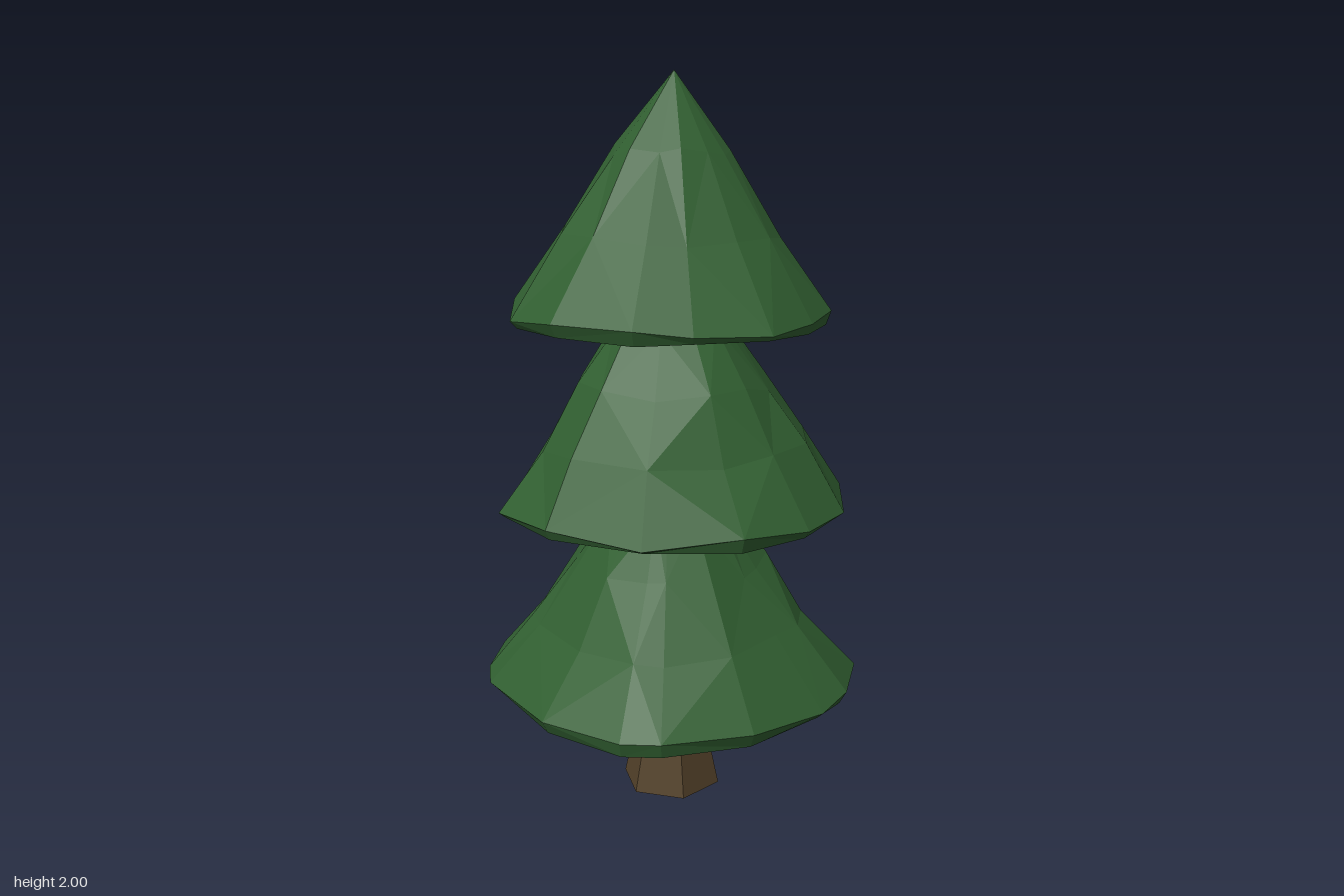
import * as THREE from 'three';

const leafMat = new THREE.MeshStandardMaterial({ color: 0x315f31, flatShading: true });
const barkMat = new THREE.MeshStandardMaterial({ color: 0x54422a, flatShading: true });

// Small seeded noise in -1..1
let seed = 11;
function noise() {
  seed = (seed * 16807) % 2147483647;
  return (seed / 2147483647) * 2 - 1;
}

// Each tier: rim outline [x, z] seen from above, base height, tip, and
// profile rings as [height, fraction of the rim radius]
const tiers = [
  {
    name: 'lowerBranches', base: 0.31, rimY: 0.35, tip: [-0.02, 0.9, 0.01],
    rings: [[0.83, 0.31], [0.68, 0.49], [0.51, 0.72]],
    rim: [[-0.12, -0.51], [0.01, -0.505], [0.27, -0.41], [0.4, -0.32], [0.515, -0.01], [0.46, 0.06],
      [0.41, 0.26], [0.37, 0.37], [0.2, 0.48], [0.07, 0.505], [-0.18, 0.485],
      [-0.4, 0.37], [-0.465, 0.285], [-0.52, 0.045], [-0.455, -0.265], [-0.4, -0.34], [-0.25, -0.465]],
  },
  {
    name: 'middleBranches', base: 0.835, rimY: 0.865, tip: [-0.02, 1.42, 0.01],
    rings: [[1.34, 0.33], [1.19, 0.55], [1.03, 0.77]],
    rim: [[-0.15, -0.44], [0.04, -0.445], [0.19, -0.41], [0.32, -0.32], [0.42, -0.15], [0.45, 0.08],
      [0.4, 0.27], [0.2, 0.45], [0, 0.5], [-0.2, 0.46], [-0.4, 0.3], [-0.49, 0.04],
      [-0.455, -0.2], [-0.25, -0.37]],
  },
  {
    name: 'upperBranches', base: 1.35, rimY: 1.385, tip: [-0.015, 2, 0.02],
    rings: [[1.8, 0.36], [1.59, 0.67]],
    rim: [[-0.07, -0.435], [0.14, -0.4], [0.36, -0.2], [0.41, 0.1], [0.22, 0.37], [0.08, 0.425],
      [-0.09, 0.445], [-0.27, 0.35], [-0.38, 0.25], [-0.46, 0.04], [-0.445, -0.14], [-0.25, -0.37]],
  },
];

// Loft from the tip through jittered rings to the rim, a thin lip and a closed underside
function branchTier({ name, base, rimY, tip, rings, rim }) {
  const n = rim.length, [cx, , cz] = tip;
  const verts = [...tip], index = [];
  const addRing = (y, f, jitterR, jitterY) => {
    for (const [x, z] of rim) {
      const s = f * (1 + noise() * jitterR);
      verts.push(cx + (x - cx) * s, y + noise() * jitterY, cz + (z - cz) * s);
    }
  };
  for (const [y, f] of rings) addRing(y, f, 0.04, 0.015);
  addRing(rimY, 1, 0, 0.015);
  addRing(base + 0.005, 0.965, 0.015, 0.005);
  const count = rings.length + 2;
  const bottom = 1 + count * n;
  verts.push(cx, base, cz);

  for (let j = 0; j < n; j++) {
    const k = (j + 1) % n;
    index.push(0, 1 + k, 1 + j);
    for (let r = 0; r < count - 1; r++) {
      const a = 1 + r * n + j, b = 1 + r * n + k;
      const c = a + n, d = b + n;
      // Alternate the diagonal for irregular facets
      if ((j + r) % 2) index.push(a, b, c, b, d, c);
      else index.push(a, b, d, a, d, c);
    }
    const last = 1 + (count - 1) * n;
    index.push(last + j, last + k, bottom);
  }
  const geo = new THREE.BufferGeometry();
  geo.setAttribute('position', new THREE.Float32BufferAttribute(verts, 3));
  geo.setIndex(index);
  const flat = geo.toNonIndexed();
  flat.computeVertexNormals();
  const mesh = new THREE.Mesh(flat, leafMat);
  mesh.name = name;
  return mesh;
}

// Six-sided trunk section with corners on the x axis
function trunkSection(name, rTop, rBottom, y0, y1) {
  const geo = new THREE.CylinderGeometry(rTop, rBottom, y1 - y0, 6, 1, false, Math.PI / 2);
  const mesh = new THREE.Mesh(geo, barkMat);
  mesh.position.set(-0.022, (y0 + y1) / 2, 0.017);
  mesh.name = name;
  return mesh;
}

export function createModel() {
  const tree = new THREE.Group();
  tree.name = 'pineTree';

  // Trunk flares out towards the ground
  const trunk = new THREE.Group();
  trunk.name = 'trunk';
  trunk.add(trunkSection('trunkFoot', 0.104, 0.141, 0, 0.17));
  trunk.add(trunkSection('trunkStem', 0.094, 0.104, 0.17, 0.33));
  tree.add(trunk);

  // Foliage
  seed = 11;
  for (const tier of tiers) tree.add(branchTier(tier));
  return tree;
}
